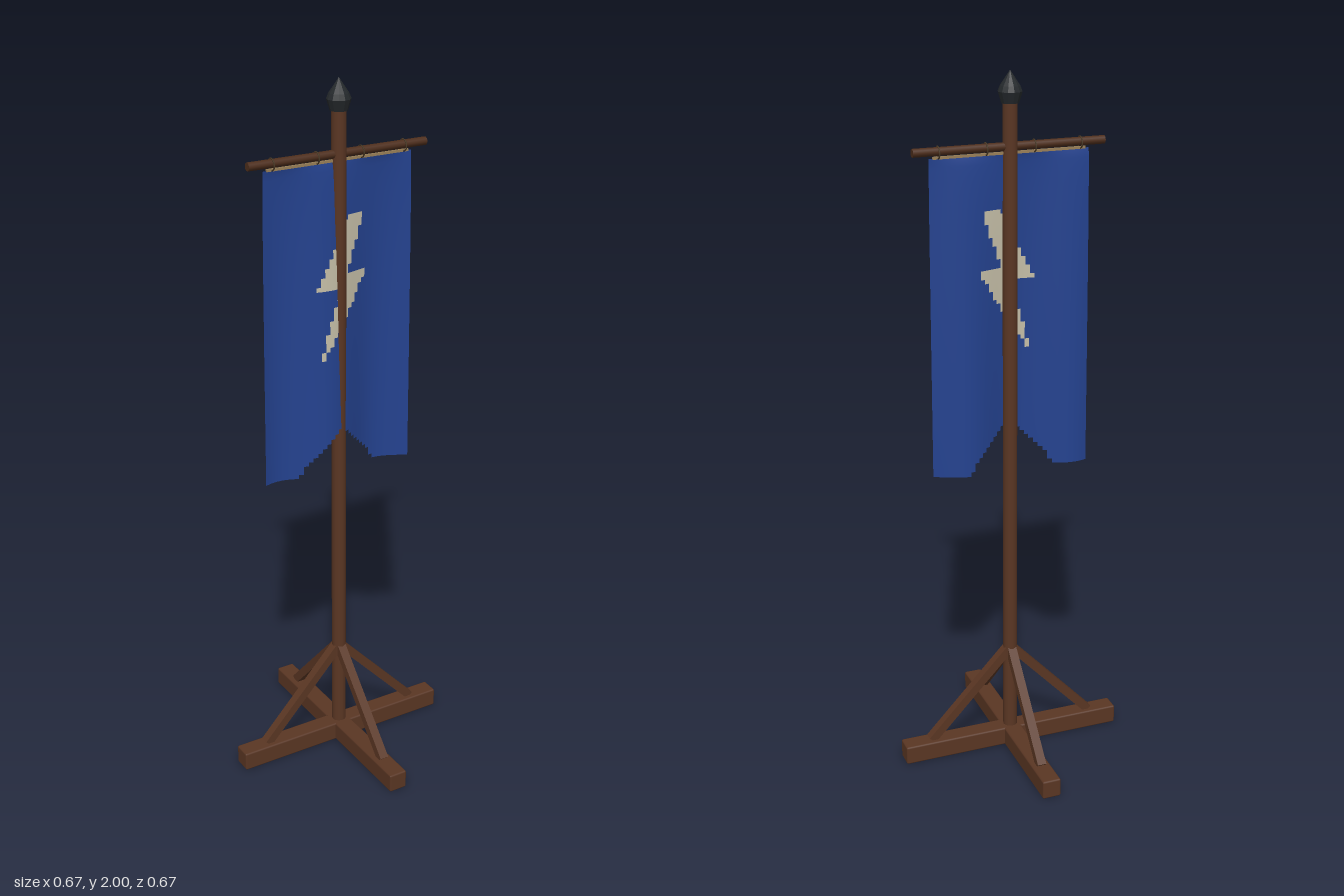
import * as THREE from 'three';
import { RoundedBoxGeometry } from 'three/addons/geometries/RoundedBoxGeometry.js';

const mat = (name, color, extra = {}) =>
  Object.assign(new THREE.MeshStandardMaterial({ color, ...extra }), { name });

export function createModel() {
  const wood = mat('wood', 0x5a3623);
  const darkWood = mat('dark wood', 0x4e2e1c);
  const iron = mat('dark iron', 0x25292c);
  const cord = mat('cord', 0x4a3a26);
  const trim = mat('tan trim', 0x9a8058);
  const blue = mat('blue cloth', 0x24428f, { side: THREE.DoubleSide });
  const cream = mat('cream cloth', 0xc6bfa8, { side: THREE.DoubleSide });

  const root = new THREE.Group();
  root.name = 'standingBanner';
  const add = (name, geometry, material, x = 0, y = 0, z = 0) => {
    const mesh = new THREE.Mesh(geometry, material);
    mesh.name = name;
    mesh.position.set(x, y, z);
    root.add(mesh);
    return mesh;
  };

  // Crossed foot beams
  const beam = new RoundedBoxGeometry(0.67, 0.056, 0.055, 1, 0.005);
  add('footBeamAcross', beam, wood, 0, 0.028, 0);
  add('footBeamAlong', beam, wood, 0, 0.028, 0).rotation.y = Math.PI / 2;

  // Four diagonal braces
  const from = new THREE.Vector2(0.25, 0.055), to = new THREE.Vector2(0.008, 0.312);
  const brace = new THREE.BoxGeometry(from.distanceTo(to), 0.025, 0.026);
  brace.rotateZ(Math.atan2(to.y - from.y, to.x - from.x));
  brace.translate((from.x + to.x) / 2, (from.y + to.y) / 2, 0);
  for (let i = 0; i < 4; i++) add('brace' + (i + 1), brace, wood).rotation.y = i * Math.PI / 2;

  // Pole and pointed finial
  add('pole', new THREE.CylinderGeometry(0.02, 0.021, 1.89, 12), wood, 0, 0.985, 0);
  const tip = [[0, 1.915], [0.024, 1.915], [0.033, 1.945], [0.027, 1.96], [0, 2]];
  add('finial', new THREE.LatheGeometry(tip.map(p => new THREE.Vector2(...p)), 12).toNonIndexed(), iron)
    .geometry.computeVertexNormals();

  // Crossbar with hanging rings
  const bar = new THREE.CylinderGeometry(0.0115, 0.0115, 0.54, 10);
  bar.rotateZ(Math.PI / 2);
  add('crossbar', bar, darkWood, 0, 1.802, 0);
  const ring = new THREE.TorusGeometry(0.016, 0.002, 6, 16);
  ring.rotateY(Math.PI / 2);
  for (const x of [-0.2, -0.068, 0.068, 0.2]) add('hangingRing', ring, cord, x, 1.799, 0);
  add('topHem', new THREE.BoxGeometry(0.43, 0.007, 0.006), trim, 0, 1.785, 0);

  // Rippled swallowtail cloth, with the bolt coloured cell by cell
  const cols = 36, rows = 72, width = 0.45, top = 1.784, height = 0.894;
  const bolt = [[0.025, 1.64], [0.085, 1.64], [0.022, 1.475], [0.098, 1.475],
    [-0.066, 1.225], [-0.036, 1.345], [0.006, 1.432], [-0.08, 1.432]];
  const inBolt = (x, y) => bolt.reduce((inside, [ax, ay], i) => {
    const [bx, by] = bolt[(i + 1) % bolt.length];
    const crosses = (ay > y) !== (by > y) && x < ax + (y - ay) * (bx - ax) / (by - ay);
    return crosses ? !inside : inside;
  }, false);
  const inNotch = (x, y) => y < 1.035 - Math.abs(x) * 1.07;

  const positions = [], plain = [], emblem = [];
  for (let r = 0; r <= rows; r++) {
    for (let c = 0; c <= cols; c++) {
      const x = (c / cols - 0.5) * width, t = r / rows;
      const z = -0.025 * Math.sqrt(t) * Math.cos((x - 0.125) * 2 * Math.PI / 0.31);
      positions.push(x, top - t * height, z);
      if (r === rows || c === cols) continue;
      const cx = x + width / cols / 2, cy = top - (r + 0.5) / rows * height;
      if (inNotch(cx, cy)) continue;
      const a = r * (cols + 1) + c, d = a + cols + 1;
      (inBolt(cx, cy) ? emblem : plain).push(a, d, a + 1, d, d + 1, a + 1);
    }
  }
  const cloth = new THREE.BufferGeometry();
  cloth.setAttribute('position', new THREE.Float32BufferAttribute(positions, 3));
  cloth.setIndex([...plain, ...emblem]);
  cloth.addGroup(0, plain.length, 0);
  cloth.addGroup(plain.length, emblem.length, 1);
  cloth.computeVertexNormals();
  add('bannerCloth', cloth, [blue, cream]);

  return root;
}
